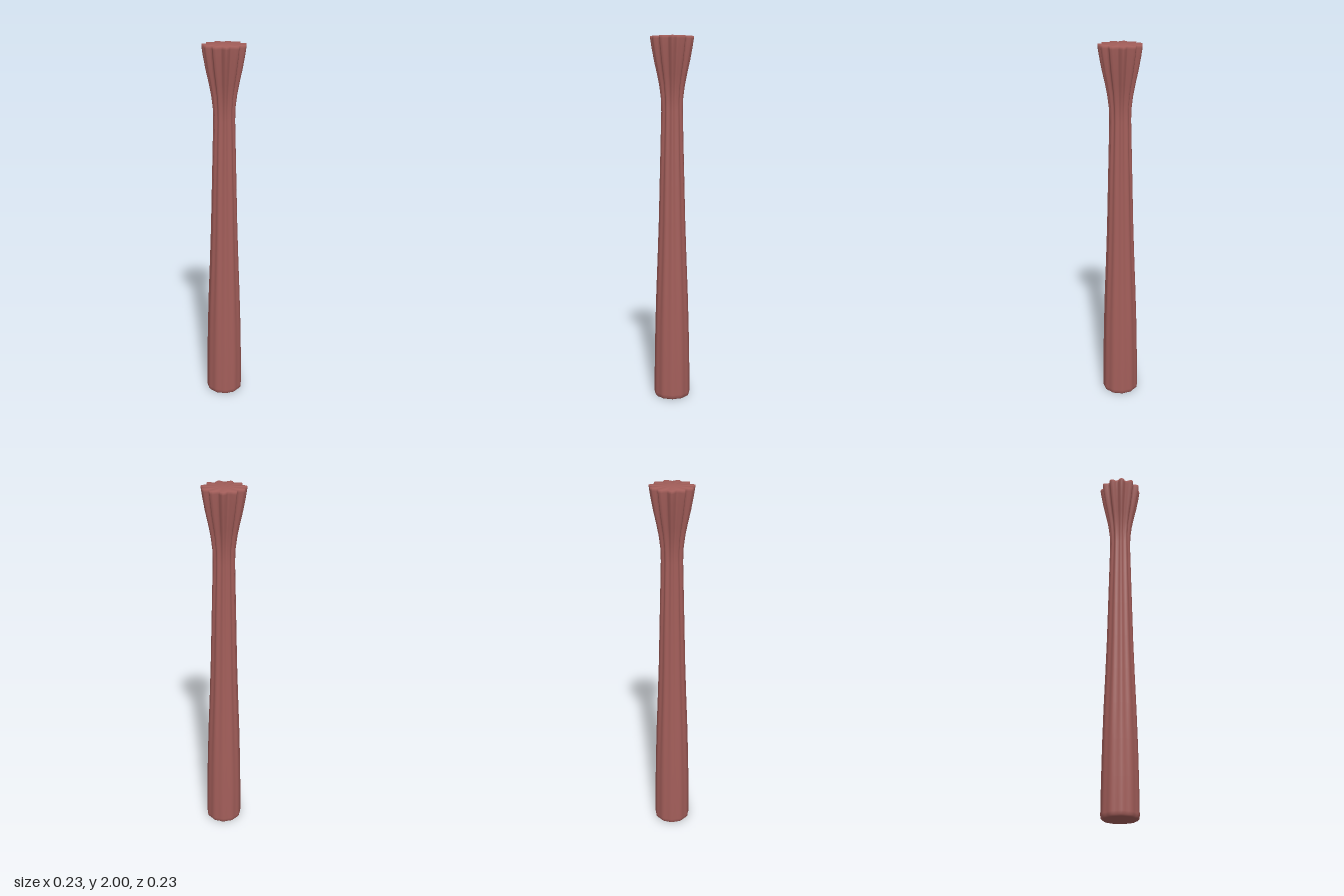
import * as THREE from 'three';

const RIBS = 11, SEGMENTS = 66;

// Height, mean radius and rib depth up the shaft
const PROFILE = [
  [0, 0.09, 0.002], [0.008, 0.097, 0.002], [0.025, 0.099, 0.002], [0.2, 0.097, 0.002],
  [0.4, 0.093, 0.002], [0.6, 0.086, 0.003], [0.8, 0.078, 0.003], [1.0, 0.071, 0.003],
  [1.2, 0.066, 0.003], [1.4, 0.06, 0.004], [1.6, 0.055, 0.004], [1.67, 0.056, 0.005],
  [1.74, 0.063, 0.007], [1.8, 0.074, 0.008], [1.87, 0.088, 0.01], [1.94, 0.099, 0.012],
  [1.985, 0.105, 0.013], [2, 0.105, 0.013],
];

// Ribbed rings joined into a closed, smooth shaft with one rib facing the front
function shaftGeometry() {
  const positions = [], index = [];
  for (const [y, radius, depth] of PROFILE) {
    for (let i = 0; i < SEGMENTS; i++) {
      const a = (i / SEGMENTS) * Math.PI * 2;
      const r = radius + depth * Math.cos(a * RIBS);
      positions.push(Math.sin(a) * r, y, Math.cos(a) * r);
    }
  }
  const last = (PROFILE.length - 1) * SEGMENTS;
  const bottom = positions.length / 3, top = bottom + 1;
  positions.push(0, 0, 0, 0, 2, 0);

  for (let i = 0; i < SEGMENTS; i++) {
    const j = (i + 1) % SEGMENTS;
    for (let k = 0; k < last; k += SEGMENTS) {
      const a = k + i, b = k + j, c = a + SEGMENTS, d = b + SEGMENTS;
      index.push(a, b, d, a, d, c);
    }
    index.push(bottom, j, i, top, last + i, last + j);
  }

  const geometry = new THREE.BufferGeometry();
  geometry.setAttribute('position', new THREE.Float32BufferAttribute(positions, 3));
  geometry.setIndex(index);
  geometry.computeVertexNormals();
  return geometry;
}

export function createModel() {
  const group = new THREE.Group();
  group.name = 'flutedHandle';
  const material = new THREE.MeshStandardMaterial({ color: 0xa35e5a });
  material.name = 'dusty red';
  const shaft = new THREE.Mesh(shaftGeometry(), material);
  shaft.name = 'shaft';
  group.add(shaft);
  return group;
}
